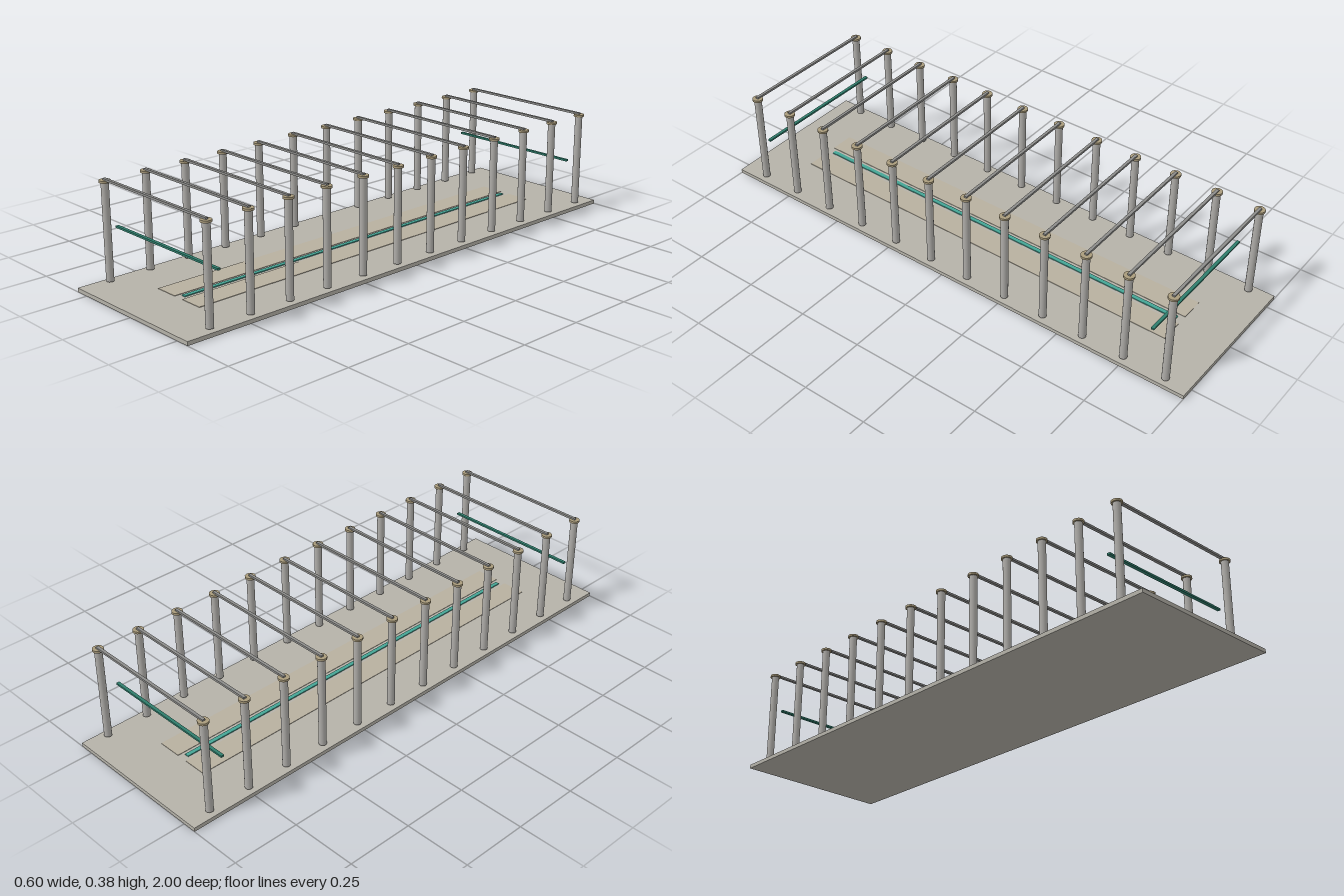
import * as THREE from 'three';

const mat = (color) => new THREE.MeshStandardMaterial({ color });

export function createModel() {
  const root = new THREE.Group();
  const stone = mat(0xb5b2a9), pale = mat(0xb8b09f), grey = mat(0xb0aeaa);
  const tan = mat(0xaa9c7c), steel = mat(0x8c8c8a), teal = mat(0x45a596), darkTeal = mat(0x2f7d6c);

  const add = (parent, name, geometry, material, x, y, z) => {
    const mesh = new THREE.Mesh(geometry, material);
    mesh.name = name;
    mesh.position.set(x, y, z);
    parent.add(mesh);
    return mesh;
  };

  // Floor slab, paired inlay strips and the raised centre line
  add(root, 'floor', new THREE.BoxGeometry(0.604, 0.0145, 2), stone, 0, 0.00725, 0);
  const stripGeo = new THREE.BoxGeometry(0.091, 0.002, 1.62);
  for (const s of [-1, 1]) add(root, 'floorStrip', stripGeo, pale, s * 0.0665, 0.0153, 0);
  add(root, 'centreLine', new THREE.BoxGeometry(0.016, 0.004, 1.58), teal, 0, 0.0162, 0);

  // Row of twelve portal frames: two capped posts and a beam each
  const postGeo = new THREE.CylinderGeometry(0.0138, 0.0138, 0.349, 16);
  const capGeo = new THREE.CylinderGeometry(0.0195, 0.0195, 0.008, 16);
  const beamGeo = new THREE.BoxGeometry(0.552, 0.008, 0.011);
  for (let i = 0; i < 12; i++) {
    const frame = new THREE.Group();
    frame.name = 'portalFrame';
    frame.position.z = -0.913 + i * 0.164;
    for (const s of [-1, 1]) {
      add(frame, 'post', postGeo, grey, s * 0.272, 0.1935, 0);
      add(frame, 'postCap', capGeo, tan, s * 0.272, 0.371, 0);
    }
    add(frame, 'beam', beamGeo, steel, 0, 0.377, 0);
    root.add(frame);
  }

  // Horizontal rail near each end
  const railGeo = new THREE.BoxGeometry(0.55, 0.007, 0.012);
  for (const s of [-1, 1]) add(root, 'endRail', railGeo, darkTeal, 0, 0.2025, s * 0.85);

  return root;
}
